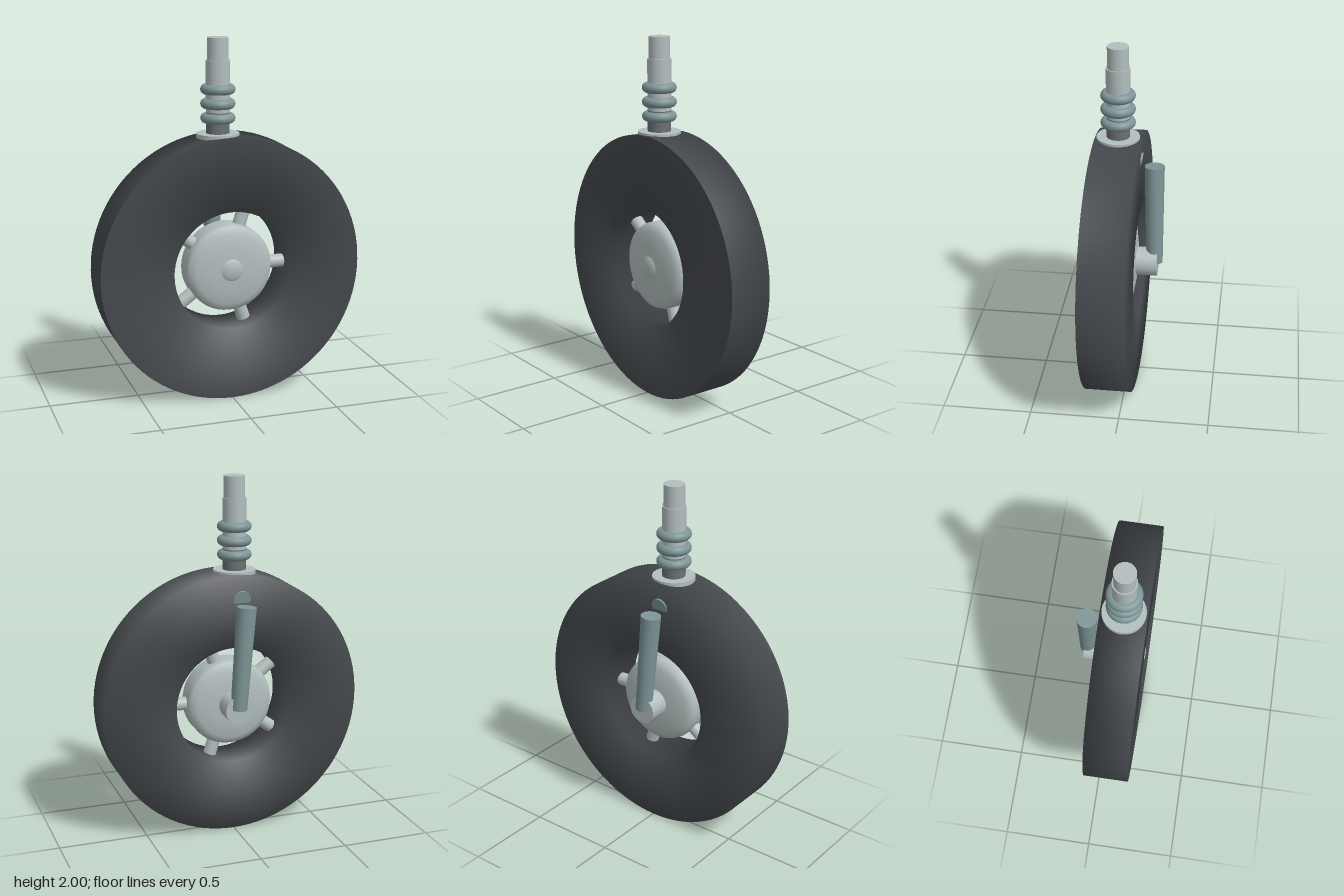
import * as THREE from 'three';

const material = (name, color) => {
  const m = new THREE.MeshStandardMaterial({ color });
  m.name = name;
  return m;
};

export function createModel() {
  const rubber = material('dark rubber', 0x44484c);
  const silver = material('light metal', 0xb3bebe);
  const teal = material('blue grey metal', 0x7d9496);
  const shaftGrey = material('dark metal', 0x6a7072);

  const model = new THREE.Group();
  model.name = 'landingWheel';
  const UP = new THREE.Vector3(0, 1, 0);
  const add = (name, geometry, mat, parent = model) => {
    const mesh = new THREE.Mesh(geometry, mat);
    mesh.name = name;
    parent.add(mesh);
    return mesh;
  };
  // Capped rod between two points, with a radius at each end
  const rod = (name, a, b, ra, rb, mat, parent) => {
    const from = new THREE.Vector3(...a), to = new THREE.Vector3(...b);
    const dir = to.clone().sub(from);
    const mesh = add(name, new THREE.CylinderGeometry(rb, ra, dir.length(), 32), mat, parent);
    mesh.position.copy(from).addScaledVector(dir, 0.5);
    mesh.quaternion.setFromUnitVectors(UP, dir.normalize());
    return mesh;
  };
  // Profile of [radius, depth] turned around the wheel axle
  const turned = (profile) => new THREE.LatheGeometry(
    profile.map(([r, d]) => new THREE.Vector2(r, d)), 96).rotateX(Math.PI / 2);

  // Wheel: broad tyre, domed hub, five spokes
  const wheel = new THREE.Group();
  wheel.name = 'wheel';
  wheel.position.set(0, 0.738, 0.065);
  model.add(wheel);
  const R = 0.738, r = 0.332, w = 0.126;
  add('tyre', turned([[R, w], [r, w], [r, -w], [R, -w], [R, w]]), rubber, wheel);

  const dome = [[0.245, 0.05], [0.235, 0.077], [0.2, 0.094], [0.12, 0.108], [0, 0.113]];
  const back = dome.map(([x, d]) => [x, -d]).reverse();
  add('hub', turned([...back, ...dome]), silver, wheel);
  const cap = add('hubCap', new THREE.SphereGeometry(0.077, 32, 16), silver, wheel);
  cap.position.z = 0.09;
  cap.scale.z = 0.45;

  for (let i = 0; i < 5; i++) {
    const a = (i * Math.PI * 2) / 5;
    rod('spoke', [0, 0, 0], [0.36 * Math.cos(a), 0.36 * Math.sin(a), 0],
      0.037, 0.037, silver, wheel);
  }

  // Axle stub and the arm behind the wheel
  rod('axle', [0, 0.738, 0], [0, 0.738, -0.162], 0.08, 0.08, silver);
  rod('arm', [0, 0.74, -0.144], [-0.047, 1.315, -0.135], 0.046, 0.055, teal);
  rod('armBracket', [-0.047, 1.36, 0.065], [-0.047, 1.337, -0.064], 0.05, 0.05, teal);

  // Strut rising from the tyre: [name, bottom, top, radius, material]
  const X = -0.047, Z = 0.065;
  const strut = new THREE.Group();
  strut.name = 'strut';
  model.add(strut);
  for (const [name, y0, y1, rad, mat] of [
    ['flange', 1.462, 1.486, 0.118, silver],
    ['lowerShaft', 1.34, 1.6, 0.064, shaftGrey],
    ['sleeve', 1.6, 1.88, 0.065, silver],
    ['topPin', 1.88, 2.0, 0.058, silver],
  ]) rod(name, [X, y0, Z], [X, y1, Z], rad, rad, mat, strut);

  // Three rounded collars around the strut
  for (const y of [1.568, 1.646, 1.724]) {
    const ring = add('collar', new THREE.TorusGeometry(0.068, 0.027, 16, 48), teal, strut);
    ring.rotation.x = Math.PI / 2;
    ring.position.set(X, y, Z);
  }

  return model;
}
